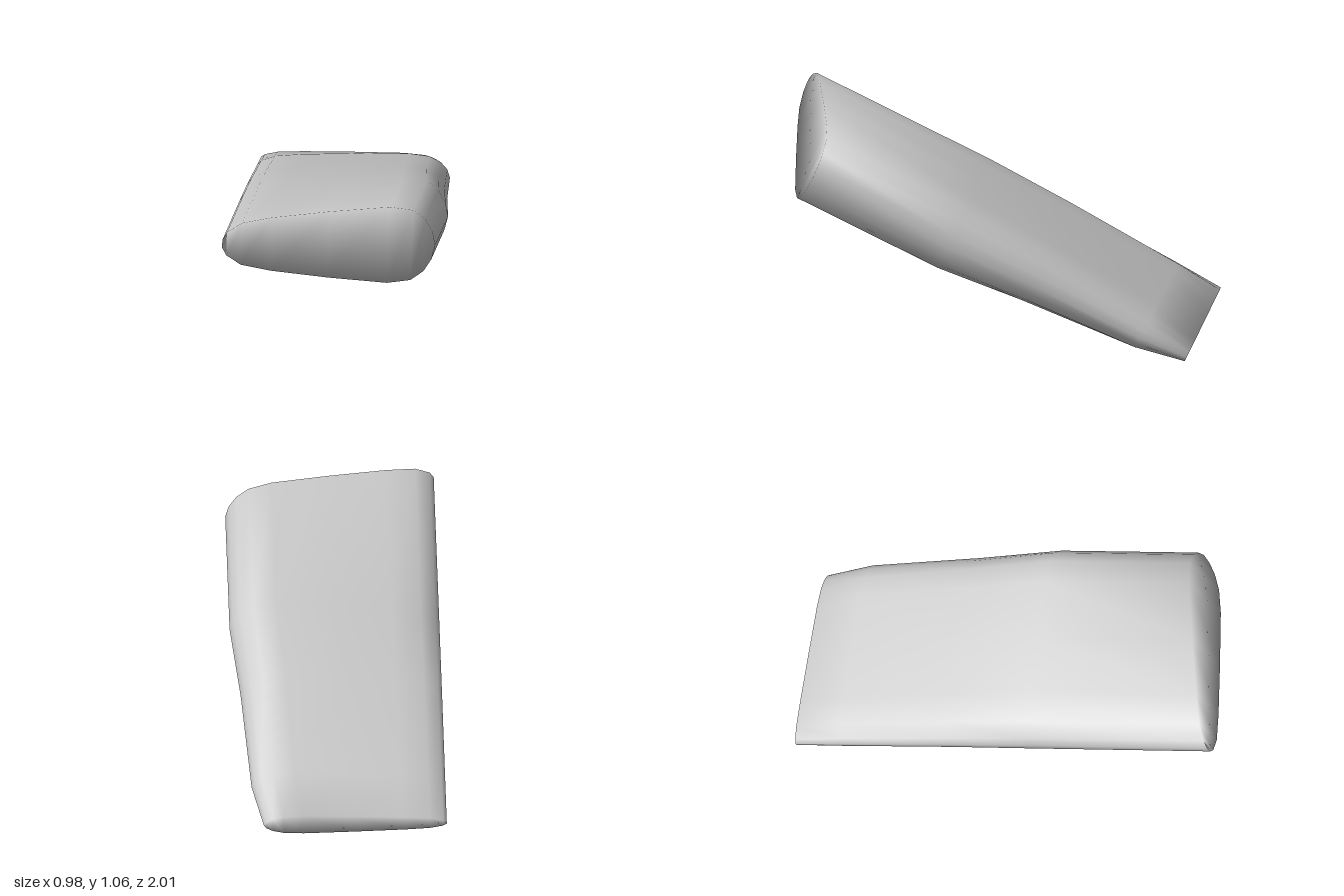
import * as THREE from 'three';

// Span stations, root to tip: mid-line z, y, leading edge x, half thickness, sweep of trailing edge
const stations = [
  [-0.975, 0.055, 0.365, 0.06, 0],
  [-0.76, 0.155, 0.415, 0.104, 0],
  [-0.25, 0.4, 0.45, 0.147, 0],
  [0.135, 0.575, 0.49, 0.178, 0],
  [0.78, 0.87, 0.49, 0.18, 0.22],
];
// Aerofoil: position along the chord (trailing to leading edge), relative half thickness
const foil = [
  [0, 0.1], [0.02, 0.3], [0.09, 0.55], [0.23, 0.7], [0.5, 0.87],
  [0.78, 1], [0.89, 0.92], [0.95, 0.68], [0.985, 0.36], [1, 0],
];
const TRAILING_X = -0.49;
const UP = { y: 0.91, z: -0.42 }; // thickness direction
const SPAN = { y: 0.4, z: 0.92 }; // span direction

function foilRing([z, y, lead, half, sweep]) {
  const point = ([u, f], side) => {
    const s = sweep * (1 - u), t = side * f * half;
    return [
      TRAILING_X + u * (lead - TRAILING_X),
      y + s * SPAN.y + t * UP.y,
      z + s * SPAN.z + t * UP.z,
    ];
  };
  const upper = foil.map((p) => point(p, 1));
  const lower = foil.slice(0, -1).reverse().map((p) => point(p, -1));
  return [...upper, ...lower];
}

function bladeGeometry() {
  const rings = stations.map(foilRing);
  const n = rings[0].length;
  const index = [];
  // Skin between neighbouring stations
  for (let s = 0; s < rings.length - 1; s++) {
    for (let i = 0; i < n; i++) {
      const j = (i + 1) % n;
      const a = s * n + i, b = s * n + j, c = a + n, d = b + n;
      index.push(a, c, b, b, c, d);
    }
  }
  // End caps, stitched from upper to lower edge and sharing the skin's normals
  const tip = (rings.length - 1) * n;
  for (let i = 0; i < foil.length - 1; i++) {
    const a = i, b = i + 1, c = n - 1 - i, d = n - 2 - i;
    index.push(tip + a, tip + c, tip + b, a, b, c);
    if (b !== d) index.push(tip + b, tip + c, tip + d, b, d, c);
  }
  const geometry = new THREE.BufferGeometry();
  geometry.setAttribute('position', new THREE.Float32BufferAttribute(rings.flat(2), 3));
  geometry.setIndex(index);
  geometry.computeVertexNormals();
  return geometry;
}

export function createModel() {
  const group = new THREE.Group();
  group.name = 'wing';
  const blade = new THREE.Mesh(bladeGeometry(), new THREE.MeshStandardMaterial({ color: 0xcccccc }));
  blade.name = 'wingBlade';
  group.add(blade);
  return group;
}
